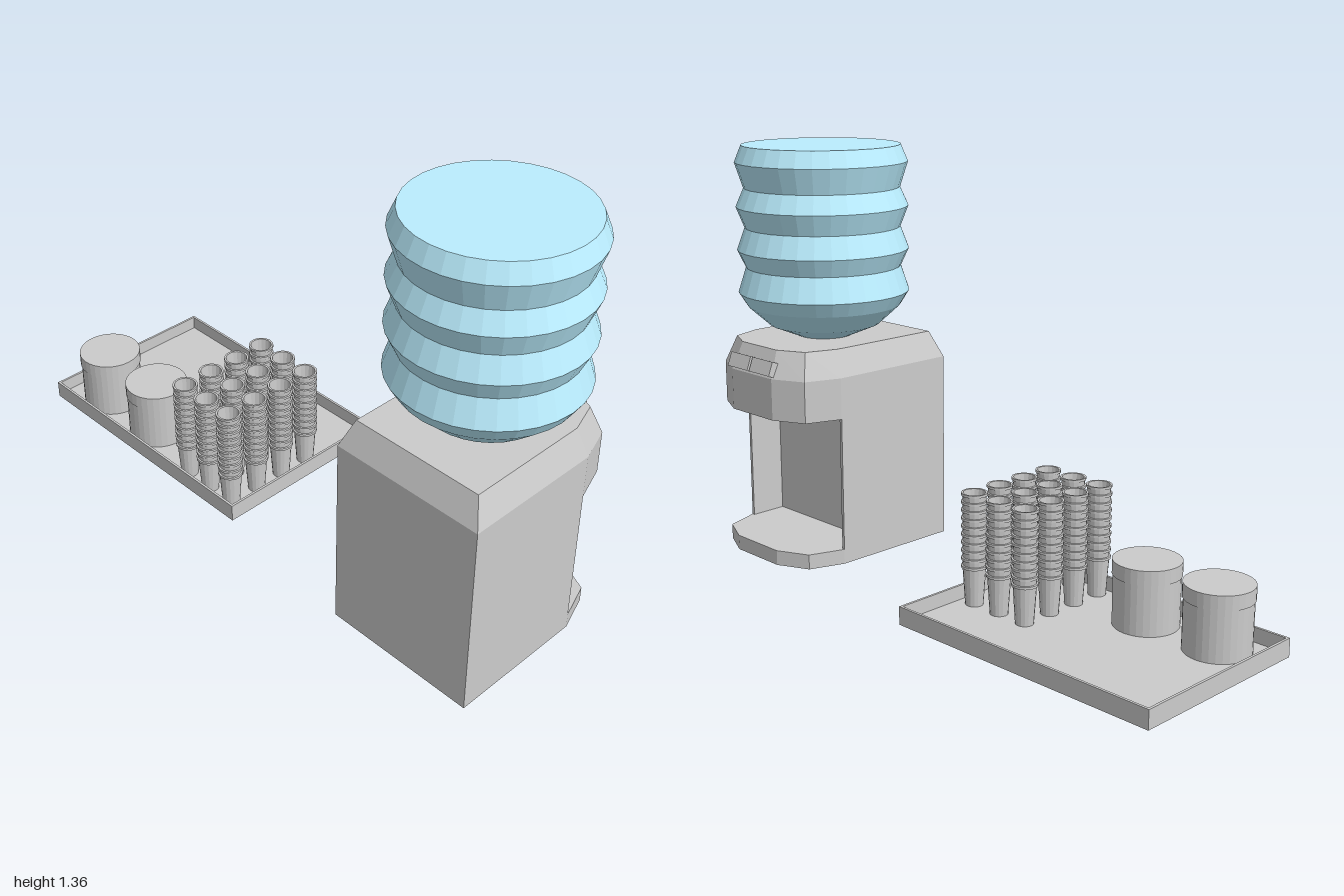
import * as THREE from 'three';

const grey = new THREE.MeshStandardMaterial({ color: 0xcccccc, flatShading: true });
const greySmooth = new THREE.MeshStandardMaterial({ color: 0xcccccc, flatShading: true, side: THREE.DoubleSide });
const blue = new THREE.MeshStandardMaterial({ color: 0xbbeeff, flatShading: true });

const CX = 0.7125; // dispenser centre line

function add(parent, name, geometry, material, x = 0, y = 0, z = 0) {
  const mesh = new THREE.Mesh(geometry, material);
  mesh.name = name;
  mesh.position.set(x, y, z);
  parent.add(mesh);
  return mesh;
}

// Upright prism from a plan of [x, z] points, standing between y0 and y1
function prism(plan, y0, y1) {
  const shape = new THREE.Shape(plan.map(([x, z]) => new THREE.Vector2(x, -z)));
  return new THREE.ExtrudeGeometry(shape, { depth: y1 - y0, bevelEnabled: false })
    .rotateX(-Math.PI / 2).translate(0, y0, 0);
}

function lathe(points, sides) {
  return new THREE.LatheGeometry(points.map(([r, y]) => new THREE.Vector2(r, y)), sides);
}

function createDispenser() {
  const g = new THREE.Group();
  g.name = 'waterDispenser';
  g.position.x = CX;

  // Full plan with the faceted bulge on the tap side
  const half = [[0.2525, 0.34], [0.2525, -0.115], [0.212, -0.232], [0.105, -0.282]];
  const mirror = (pts) => [...pts, ...pts.map(([x, z]) => [-x, z]).reverse()];
  const plan = mirror(half);
  // Cabinet plan with the filling recess cut in
  const cabinet = mirror([[0.2525, 0.34], [0.2525, -0.115], [0.242, -0.115], [0.242, 0.01]]);

  add(g, 'foot', prism(plan, 0, 0.05), grey);
  add(g, 'cabinet', prism(cabinet, 0.05, 0.495), grey);
  add(g, 'head', prism(plan, 0.495, 0.632), grey);

  // Sloping shoulder above the head
  const shoulder = prism(plan, 0.632, 0.72);
  const p = shoulder.attributes.position;
  for (let i = 0; i < p.count; i++) {
    if (p.getY(i) < 0.7) continue;
    p.setX(i, p.getX(i) * 0.862);
    p.setZ(i, 0.03 + (p.getZ(i) - 0.03) * 0.885);
  }
  shoulder.computeVertexNormals();
  add(g, 'shoulder', shoulder, grey);

  // Two tap buttons on the slope
  for (const s of [-1, 1]) {
    const button = add(g, 'tapButton', new THREE.BoxGeometry(0.105, 0.048, 0.026), grey, s * 0.0575, 0.662, -0.275);
    button.rotation.x = 0.36;
  }

  // Ribbed bottle, neck down
  const bottle = [
    [0, 0.69], [0.09, 0.69], [0.09, 0.72], [0.185, 0.76], [0.256, 0.825],
    [0.285, 0.872], [0.258, 0.955], [0.285, 1.013], [0.258, 1.086],
    [0.285, 1.155], [0.258, 1.216], [0.285, 1.3], [0.262, 1.355], [0.19, 1.355], [0, 1.355],
  ];
  add(g, 'bottle', lathe(bottle, 32), blue, 0, 0, 0.03);
  return g;
}

function createTray() {
  const g = new THREE.Group();
  g.name = 'servingTray';
  const w = 0.94, d = 0.63, t = 0.008, cx = -0.53, cz = -0.025;
  add(g, 'trayFloor', new THREE.BoxGeometry(w, 0.012, d), grey, cx, 0.016, cz);
  for (const s of [-1, 1]) {
    add(g, 'trayLongRim', new THREE.BoxGeometry(w, 0.058, t), grey, cx, 0.039, cz + s * (d - t) / 2);
    add(g, 'trayShortRim', new THREE.BoxGeometry(t, 0.058, d - 2 * t), grey, cx + s * (w - t) / 2, 0.039, cz);
  }
  return g;
}

// Lidded jar
function createJar(x) {
  const g = new THREE.Group();
  g.name = 'jar';
  g.position.set(x, 0.022, 0.165);
  add(g, 'jarBody', new THREE.CylinderGeometry(0.101, 0.101, 0.16, 32), grey, 0, 0.08, 0);
  add(g, 'jarLid', new THREE.CylinderGeometry(0.104, 0.104, 0.045, 32), grey, 0, 0.181, 0);
  return g;
}

// Nested cups: tapered lowest cup, a row of rims, then the open inside of the top cup
function cupStackGeometry() {
  const pts = [[0, 0], [0.028, 0], [0.036, 0.12]];
  const rims = 10, pitch = 0.0255;
  for (let i = 0; i < rims; i++) {
    const y = 0.12 + i * pitch;
    pts.push([0.0405, y], [0.0405, y + 0.008]);
    if (i < rims - 1) pts.push([0.0355, y + 0.009], [0.037, y + pitch]);
  }
  pts.push([0.034, 0.357], [0.026, 0.24], [0, 0.24]);
  return lathe(pts, 16);
}

export function createModel() {
  const model = new THREE.Group();
  model.name = 'waterStation';
  model.add(createDispenser(), createTray(), createJar(-0.842), createJar(-0.585));

  const cups = new THREE.Group();
  cups.name = 'cupStacks';
  const stack = cupStackGeometry();
  for (let i = 0; i < 3; i++) {
    for (let j = 0; j < 4; j++) {
      add(cups, 'cupStack', stack, greySmooth, -0.332 + i * 0.105, 0.022, -0.088 + j * 0.109);
    }
  }
  model.add(cups);
  return model;
}
